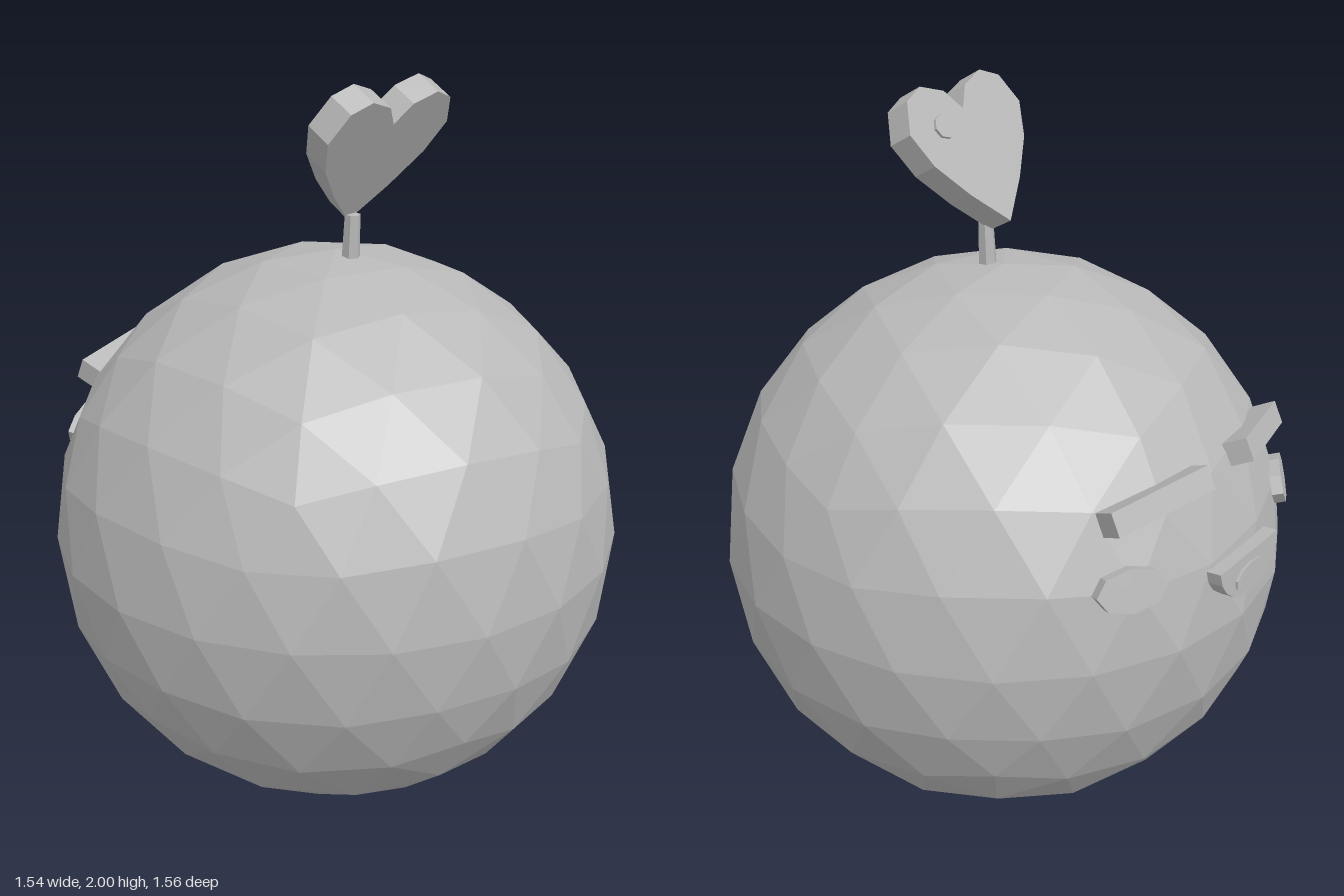
import * as THREE from 'three';

const grey = new THREE.MeshStandardMaterial({ color: 0xb8b8b8, flatShading: true });
grey.name = 'plain grey';

function part(name, geometry) {
  const mesh = new THREE.Mesh(geometry, grey);
  mesh.name = name;
  return mesh;
}

// Places a mesh so its local +z follows the normal and local +x follows the given direction.
function orient(mesh, position, along, normal) {
  const x = new THREE.Vector3(...along).normalize();
  const z = new THREE.Vector3(...normal);
  z.addScaledVector(x, -z.dot(x)).normalize();
  const y = new THREE.Vector3().crossVectors(z, x);
  mesh.quaternion.setFromRotationMatrix(new THREE.Matrix4().makeBasis(x, y, z));
  mesh.position.set(...position);
  return mesh;
}

// Flat-topped half ellipse plate, centred in depth.
function halfEllipse(rx, ry, depth, sides) {
  const points = [];
  for (let i = 0; i <= sides; i++) {
    const a = Math.PI + (Math.PI * i) / sides;
    points.push(new THREE.Vector2(rx * Math.cos(a), ry * Math.sin(a)));
  }
  return new THREE.ExtrudeGeometry(new THREE.Shape(points), { depth, bevelEnabled: false })
    .translate(0, 0, -depth / 2);
}

function ellipseDisc(rx, ry, depth, sides) {
  return new THREE.CylinderGeometry(1, 1, depth, sides).rotateX(Math.PI / 2).scale(rx, ry, 1);
}

export function createModel() {
  const model = new THREE.Group();
  model.name = 'sprout ball';

  // Faceted round body with a vertex at the top and bottom
  const tilt = -Math.atan(2 / (1 + Math.sqrt(5)));
  const body = part('body', new THREE.IcosahedronGeometry(0.77, 3).rotateZ(tilt));
  body.position.set(0, 0.773, 0.01);
  model.add(body);

  // Stem
  const stem = part('stem', new THREE.CylinderGeometry(0.021, 0.025, 0.13, 6));
  stem.position.set(0, 1.58, 0.065);
  stem.rotation.x = 0.05;
  model.add(stem);

  // Heart-shaped leaf leaning towards +z, its tip at the group origin
  const half = [[0.1, 0.095], [0.18, 0.19], [0.217, 0.28], [0.18, 0.36], [0.117, 0.386], [0.042, 0.36]];
  const outline = [[0, 0], ...half, [0, 0.305], ...half.map(([x, y]) => [-x, y]).reverse()];
  const leaf = new THREE.Group();
  leaf.name = 'leaf';
  leaf.position.set(0, 1.664, -0.013);
  leaf.rotation.x = Math.PI / 6;
  leaf.add(part('heartLeaf', new THREE.ExtrudeGeometry(
    new THREE.Shape(outline.map(([x, y]) => new THREE.Vector2(x, y))),
    { depth: 0.075, bevelEnabled: false })));
  const spot = part('leafSpot', ellipseDisc(0.038, 0.032, 0.016, 8));
  spot.position.set(0.092, 0.275, 0);
  leaf.add(spot);
  model.add(leaf);

  // Closed eyes and cheeks, mirrored
  for (const s of [1, -1]) {
    const side = s > 0 ? 'left' : 'right';
    model.add(orient(part(side + 'Eye', new THREE.BoxGeometry(0.305, 0.062, 0.065)),
      [s * 0.23, 1.158, -0.627], [-0.3, s * 0.03, -s * 0.08], [s * 0.23, 0.42, -0.88]));
    model.add(orient(part(side + 'Cheek', ellipseDisc(0.095, 0.056, 0.03, 8)),
      [s * 0.355, 0.98, -0.645], [-0.166, 0, -s * 0.095], [s * 0.36, 0.2, -0.665]));
  }

  // Open smiling mouth with a tongue
  const mouth = new THREE.Group();
  mouth.name = 'mouth';
  orient(mouth, [0, 0.957, -0.745], [-1, 0, 0], [0, 0.1, -1]);
  mouth.add(part('lips', halfEllipse(0.14, 0.108, 0.04, 10)));
  const tongue = part('tongue', ellipseDisc(0.075, 0.036, 0.012, 10));
  tongue.position.set(0, -0.06, 0.021);
  mouth.add(tongue);
  model.add(mouth);

  return model;
}
